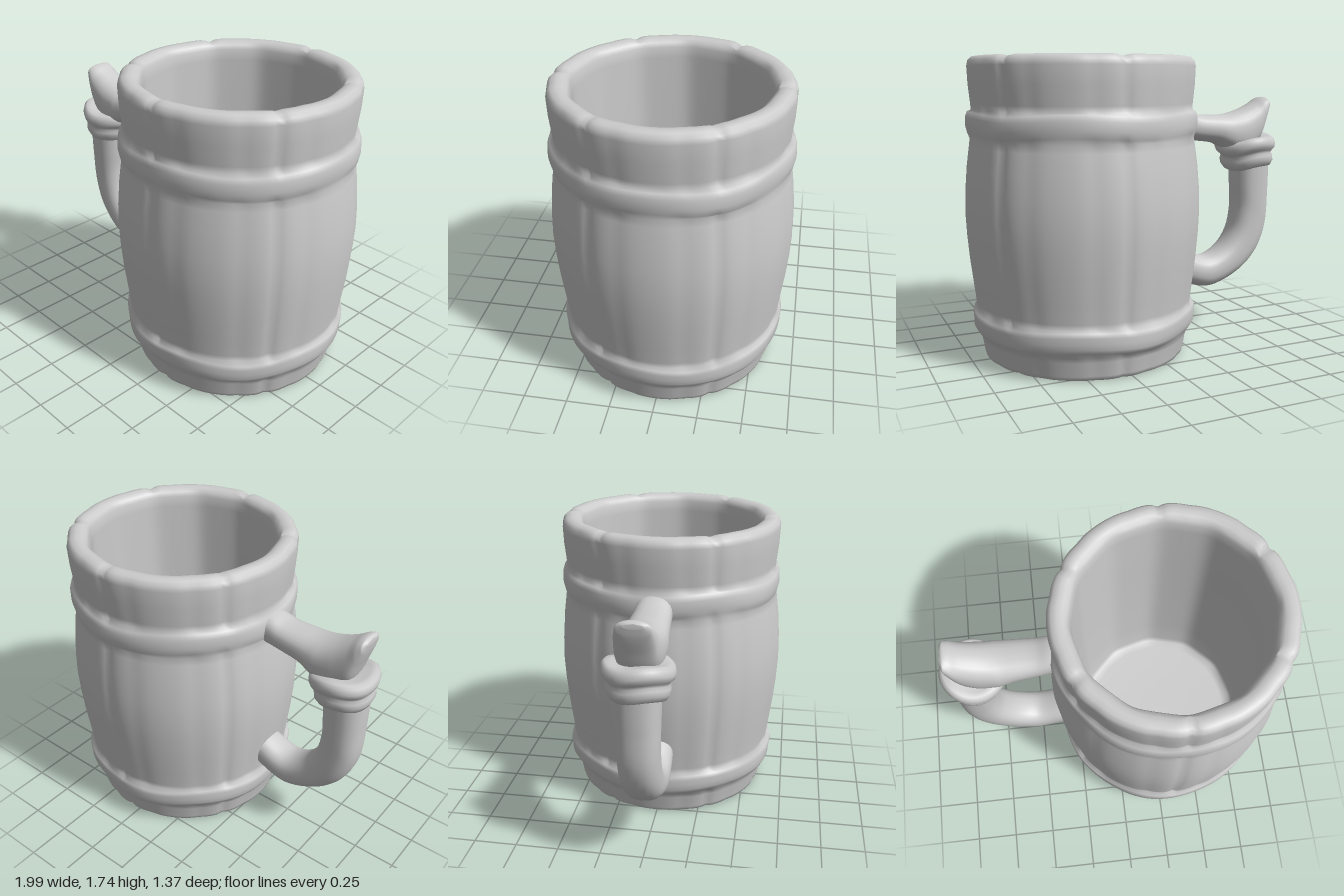
import * as THREE from 'three';
import { mergeVertices } from 'three/addons/utils/BufferGeometryUtils.js';

const grey = new THREE.MeshStandardMaterial({ color: 0xcccccc });
grey.name = 'plain grey';

// Weld the seam and recompute smooth normals
function smooth(geo) {
  geo.deleteAttribute('uv');
  geo.deleteAttribute('normal');
  const welded = mergeVertices(geo, 1e-4);
  welded.computeVertexNormals();
  return welded;
}

function part(name, geo) {
  const mesh = new THREE.Mesh(geo, grey);
  mesh.name = name;
  return mesh;
}

// Closeness (0..1) to the nearest joint of a repeating pattern of staves
function joint(angle, count, offset, width) {
  const step = (Math.PI * 2) / count;
  const t = (angle - offset) / step;
  const d = (t - Math.round(t)) * step;
  return Math.exp(-((d / width) ** 2));
}

// Barrel: underside, outer wall, rim, inner wall and floor in one turned profile
function barrel() {
  const profile = [
    [0, 0.08], [0.4, 0.08], [0.47, 0.07], [0.49, 0.035], [0.51, 0.01], [0.53, 0],
    [0.575, 0], [0.592, 0.01], [0.598, 0.03], [0.612, 0.11], [0.622, 0.14], [0.642, 0.165],
    [0.655, 0.19], [0.656, 0.22], [0.66, 0.255], [0.655, 0.28], [0.638, 0.298], [0.64, 0.33],
    [0.652, 0.43], [0.67, 0.58], [0.682, 0.72], [0.688, 0.85], [0.684, 0.98], [0.672, 1.12],
    [0.657, 1.23], [0.651, 1.275], [0.66, 1.3], [0.669, 1.34], [0.667, 1.39], [0.657, 1.42],
    [0.64, 1.435], [0.642, 1.47], [0.653, 1.58], [0.657, 1.68], [0.65, 1.71], [0.63, 1.73],
    [0.6, 1.735], [0.57, 1.73], [0.55, 1.715], [0.538, 1.69], [0.53, 1.63], [0.53, 1.2],
    [0.525, 0.8], [0.515, 0.4], [0.505, 0.2], [0.49, 0.165], [0.44, 0.15], [0, 0.15],
  ].map(([r, y]) => new THREE.Vector2(r, y));
  const geo = new THREE.LatheGeometry(profile, 144);
  const p = geo.attributes.position;
  for (let i = 0; i < p.count; i++) {
    const x = p.getX(i), z = p.getZ(i);
    let y = p.getY(i);
    const r = Math.hypot(x, z);
    if (r < 0.46) continue;
    const a = Math.atan2(z, x);
    const outer = r > 0.56;
    const hoop = outer && ((y > 0.15 && y < 0.29) || (y > 1.28 && y < 1.43));
    let dr = 0;
    if (hoop) {
      // Hand-beaten hoops
      dr = 0.004 * Math.sin(7 * a + y * 9);
      y += 0.008 * Math.sin(5 * a + 1);
    } else if (outer) {
      // Stave joints
      dr = -0.012 * joint(a, 6, Math.PI / 6, 0.04)
        - 0.005 * joint(a, 12, Math.PI / 12, 0.07);
      if (y > 1.7) y -= 0.012 * joint(a, 6, Math.PI / 6, 0.04);
    } else if (y > 0.15) {
      // Broad facets on the inside
      dr = -0.008 + 0.01 * joint(a, 12, 0, 0.14);
    } else {
      dr = 0.005 * Math.sin(9 * a);
    }
    const k = (r + dr) / r;
    p.setXYZ(i, x * k, y, z * k);
  }
  const mesh = part('barrel', smooth(geo));
  mesh.position.x = 0.312;
  return mesh;
}

// Skin oval sections, each given by two opposite edge points and a half width in z
function loft(sections, steps, sides = 24) {
  const curve = (f) => new THREE.CatmullRomCurve3(sections.map(f), false, 'centripetal');
  const edgeA = curve((s) => new THREE.Vector3(s[0], s[1], 0));
  const edgeB = curve((s) => new THREE.Vector3(s[2], s[3], 0));
  const pos = [], idx = [];
  const last = sections.length - 1;
  for (let i = 0; i <= steps; i++) {
    const t = i / steps;
    const a = edgeA.getPoint(t), b = edgeB.getPoint(t);
    const k = Math.min(Math.floor(t * last), last - 1);
    const w = THREE.MathUtils.lerp(sections[k][4], sections[k + 1][4], t * last - k);
    for (let j = 0; j < sides; j++) {
      const u = (j / sides) * Math.PI * 2;
      const c = Math.sign(Math.cos(u)) * Math.abs(Math.cos(u)) ** 0.85;
      const s = Math.sign(Math.sin(u)) * Math.abs(Math.sin(u)) ** 0.85;
      const m = (1 + c) / 2;
      pos.push(b.x + (a.x - b.x) * m, b.y + (a.y - b.y) * m, s * w);
      if (i < steps) {
        const q = i * sides + j, n = i * sides + ((j + 1) % sides);
        idx.push(q, q + sides, n, n, q + sides, n + sides);
      }
    }
  }
  // End caps
  for (let j = 1; j < sides - 1; j++) {
    const e = steps * sides;
    idx.push(0, j, j + 1, e, e + j + 1, e + j);
  }
  const geo = new THREE.BufferGeometry();
  geo.setAttribute('position', new THREE.Float32BufferAttribute(pos, 3));
  geo.setIndex(idx);
  geo.computeVertexNormals();
  return geo;
}

export function createModel() {
  const mug = new THREE.Group();
  mug.name = 'barrelMug';
  mug.add(barrel());

  // Upper arm flaring into a thumb rest: top edge, bottom edge, half width
  mug.add(part('thumbRest', loft([
    [-0.29, 1.43, -0.29, 1.24, 0.105],
    [-0.36, 1.415, -0.36, 1.235, 0.105],
    [-0.43, 1.392, -0.45, 1.225, 0.11],
    [-0.55, 1.385, -0.57, 1.205, 0.12],
    [-0.66, 1.392, -0.65, 1.16, 0.13],
    [-0.76, 1.42, -0.77, 1.14, 0.125],
    [-0.84, 1.458, -0.86, 1.2, 0.115],
    [-0.89, 1.487, -0.905, 1.32, 0.105],
    [-0.92, 1.493, -0.932, 1.41, 0.09],
    [-0.937, 1.482, -0.94, 1.46, 0.05],
  ], 54)));

  // Lower grip: inner edge, outer edge, half width
  mug.add(part('grip', loft([
    [-0.29, 0.57, -0.29, 0.35, 0.105],
    [-0.36, 0.535, -0.36, 0.325, 0.11],
    [-0.5, 0.49, -0.52, 0.29, 0.115],
    [-0.61, 0.54, -0.74, 0.375, 0.115],
    [-0.69, 0.65, -0.87, 0.5, 0.115],
    [-0.72, 0.8, -0.937, 0.66, 0.115],
    [-0.715, 0.95, -0.953, 0.9, 0.12],
    [-0.705, 1.14, -0.955, 1.14, 0.125],
  ], 54)));

  // Collar of two rolled rings
  const collar = new THREE.LatheGeometry([
    [0, -0.1], [0.12, -0.1], [0.15, -0.09], [0.168, -0.06], [0.168, -0.03], [0.16, -0.012],
    [0.168, 0.005], [0.186, 0.02], [0.193, 0.045], [0.188, 0.075], [0.17, 0.092],
    [0.14, 0.09], [0, 0.08],
  ].map(([r, y]) => new THREE.Vector2(r, y)), 48);
  const p = collar.attributes.position;
  for (let i = 0; i < p.count; i++) {
    const a = Math.atan2(p.getZ(i), p.getX(i));
    p.setY(i, p.getY(i) + 0.01 * Math.sin(3 * a) * Math.hypot(p.getX(i), p.getZ(i)) / 0.19);
  }
  const ring = part('collar', smooth(collar));
  ring.position.set(-0.808, 1.145, 0);
  ring.rotation.z = -0.13;
  mug.add(ring);

  return mug;
}
